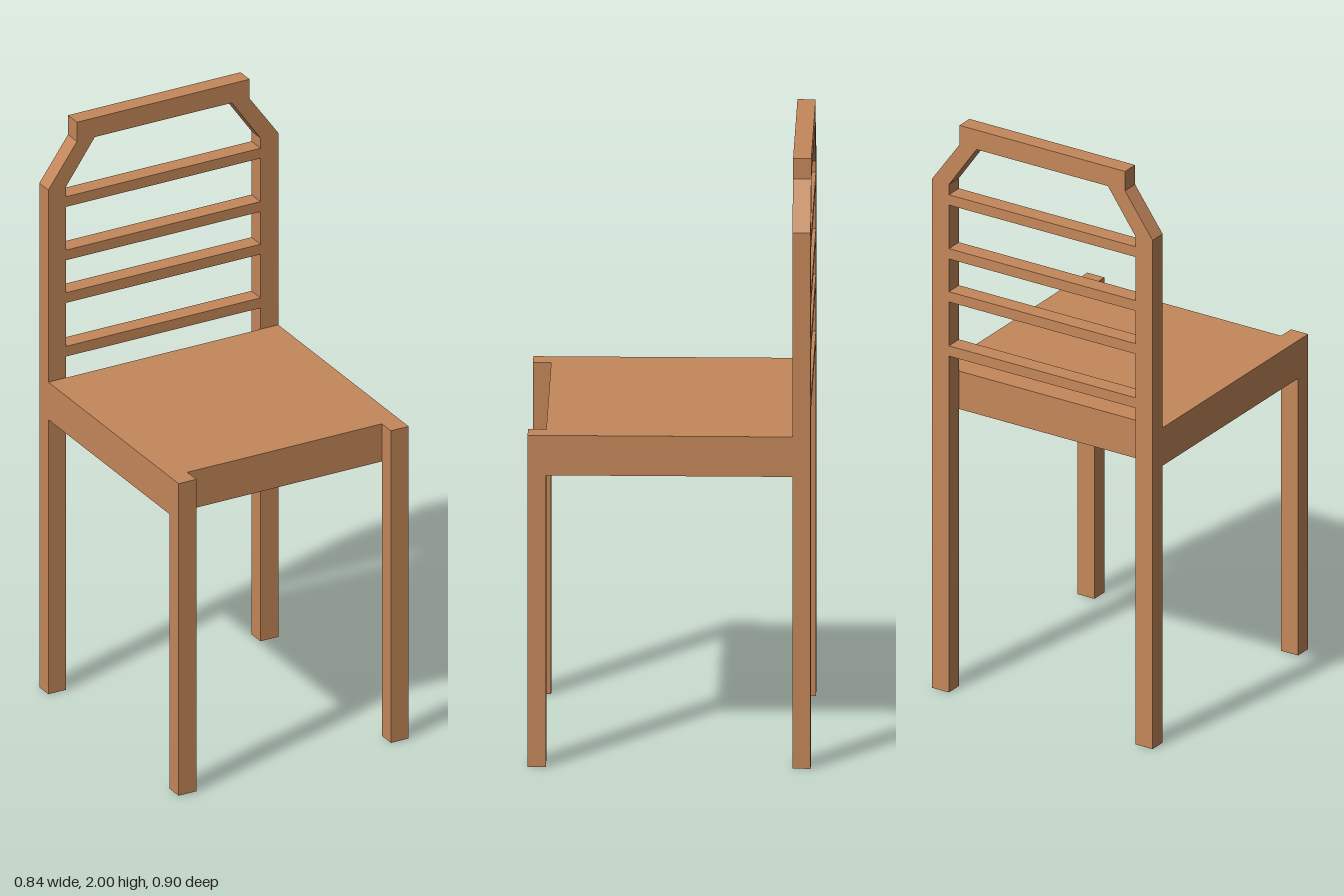
import * as THREE from 'three';

export function createModel() {
  const chair = new THREE.Group();
  chair.name = 'chair';
  const wood = new THREE.MeshStandardMaterial({ color: 0xc4875a });
  wood.name = 'warm wood';

  // Box given by its lower and upper corners
  function box(name, [x0, y0, z0], [x1, y1, z1]) {
    const mesh = new THREE.Mesh(new THREE.BoxGeometry(x1 - x0, y1 - y0, z1 - z0), wood);
    mesh.position.set((x0 + x1) / 2, (y0 + y1) / 2, (z0 + z1) / 2);
    mesh.name = name;
    chair.add(mesh);
  }

  const outer = 0.42, inner = 0.355, front = 0.45, recess = 0.392;
  const seatBottom = 0.972, seatTop = 1.105;

  // Seat, set back between the legs at front and rear
  box('seat', [-outer, seatBottom, -recess], [outer, seatTop, recess]);

  // Front legs, level with the seat top
  box('frontLegLeft', [inner, 0, recess], [outer, seatTop, front]);
  box('frontLegRight', [-outer, 0, recess], [-inner, seatTop, front]);

  // Rear legs, posts, slanted shoulders and top rail as one arch
  const half = [
    [outer, 0], [outer, 1.785], [0.315, 1.932], [0.315, 2],
  ];
  const opening = [[inner, 0], [inner, 1.782], [0.25, 1.932]];
  const mirror = (pts) => pts.map(([x, y]) => [-x, y]).reverse();
  const outline = [...half, ...mirror(half), ...mirror(opening).reverse(), ...opening.slice().reverse()];
  const shape = new THREE.Shape(outline.map(([x, y]) => new THREE.Vector2(x, y)));
  const backFrame = new THREE.Mesh(
    new THREE.ExtrudeGeometry(shape, { depth: front - recess, bevelEnabled: false }), wood);
  backFrame.position.z = -front;
  backFrame.name = 'backFrame';
  chair.add(backFrame);

  // Back slats
  [1.18, 1.37, 1.521, 1.71].forEach((y, i) =>
    box(`backSlat${i + 1}`, [-inner, y, -front], [inner, y + 0.036, -recess]));

  return chair;
}
